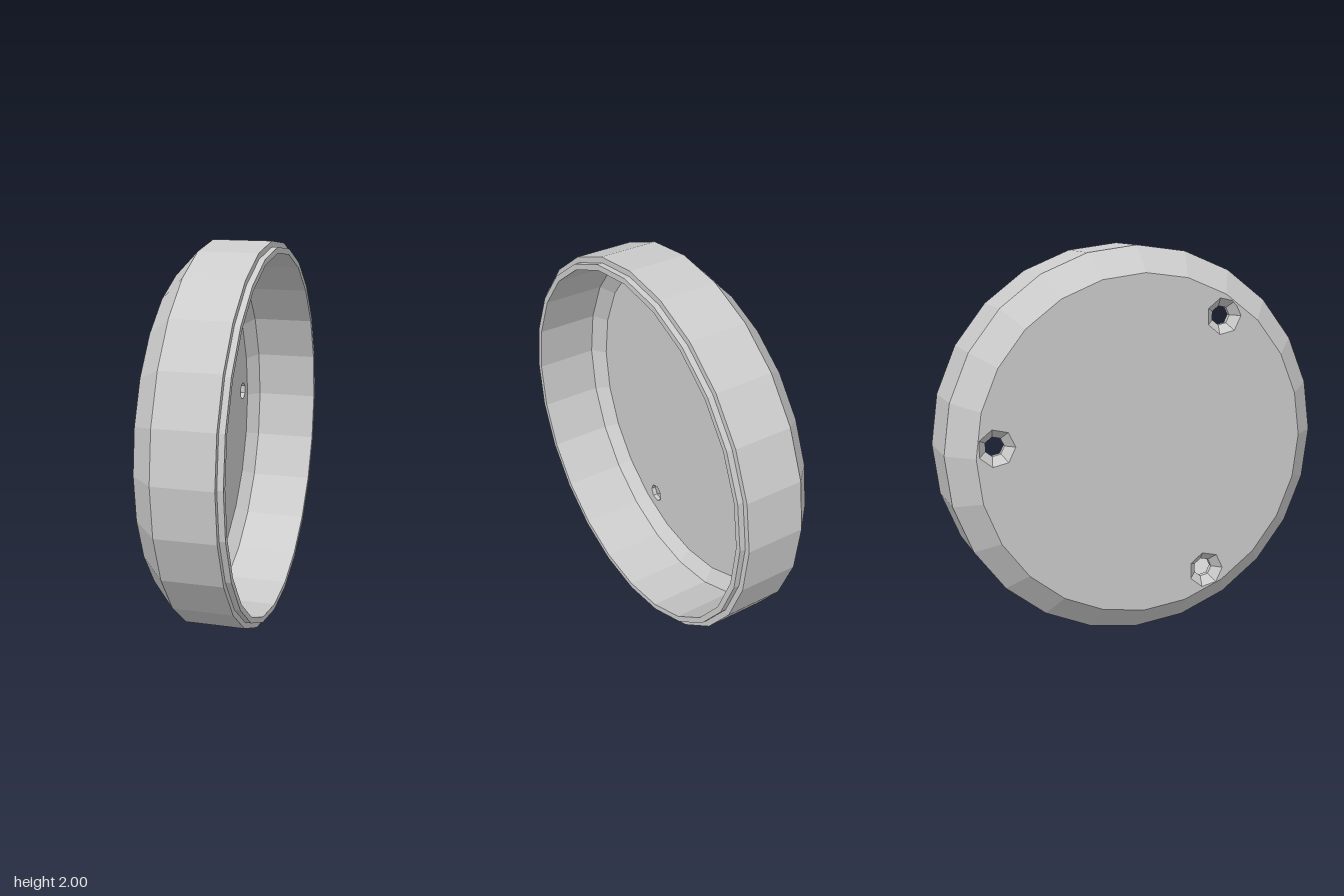
import * as THREE from 'three';

const SIDES = 24, HOLE_SIDES = 7;
const BACK = -0.23, FLOOR = -0.16;
const BACK_R = 0.87, FLOOR_R = 0.875;
const HOLE_R = 0.05, SINK_R = 0.095;
const HOLE_ANGLES = [56.5, 176.5, 296.5].map(THREE.MathUtils.degToRad);
const HOLES = HOLE_ANGLES.map(a => ({ z: 0.77 * Math.cos(a), y: 0.77 * Math.sin(a) }));

// Profile of [radius, x] pairs turned around the x axis
function turned(profile, sides) {
  const points = profile.map(([r, x]) => new THREE.Vector2(r, x));
  return new THREE.LatheGeometry(points, sides).rotateZ(-Math.PI / 2);
}

// Polygon in the (z, y) plane, matching the corners of a turned part
function polygon(cz, cy, r, sides) {
  return Array.from({ length: sides }, (_, i) => {
    const a = (i / sides) * Math.PI * 2;
    return new THREE.Vector2(cz + r * Math.cos(a), cy - r * Math.sin(a));
  });
}

// Round plate with three holes, facing -x (back) or +x (front)
function plate(radius, holeRadius, x, facing) {
  const flip = p => new THREE.Vector2(-facing * p.x, p.y);
  const shape = new THREE.Shape(polygon(0, 0, radius, SIDES).map(flip));
  for (const h of HOLES) {
    shape.holes.push(new THREE.Path(polygon(h.z, h.y, holeRadius, HOLE_SIDES).map(flip)));
  }
  return new THREE.ShapeGeometry(shape).rotateY(facing * Math.PI / 2).translate(x, 0, 0);
}

export function createModel() {
  const group = new THREE.Group();
  group.name = 'roundCover';
  const material = new THREE.MeshStandardMaterial({ color: 0xcccccc, flatShading: true });
  const add = (name, geometry) => {
    const mesh = new THREE.Mesh(geometry, material);
    mesh.name = name;
    mesh.position.y = 1;
    group.add(mesh);
    return mesh;
  };

  // Chamfered outer wall, stepped lip and inner wall
  add('rimWall', turned([
    [BACK_R, BACK], [1, -0.105], [1, 0.2], [0.97, 0.2], [0.97, 0.23],
    [0.94, 0.23], [0.94, -0.1], [FLOOR_R, FLOOR],
  ], SIDES));

  // Both faces of the end plate
  add('backFace', plate(BACK_R, SINK_R, BACK, -1));
  add('innerFloor', plate(FLOOR_R, HOLE_R, FLOOR, 1));

  // Countersunk screw holes
  HOLES.forEach((h, i) => {
    const hole = add('screwHole' + (i + 1), turned(
      [[HOLE_R, FLOOR], [HOLE_R, -0.185], [SINK_R, BACK]], HOLE_SIDES));
    hole.position.set(0, 1 + h.y, h.z);
  });

  return group;
}
